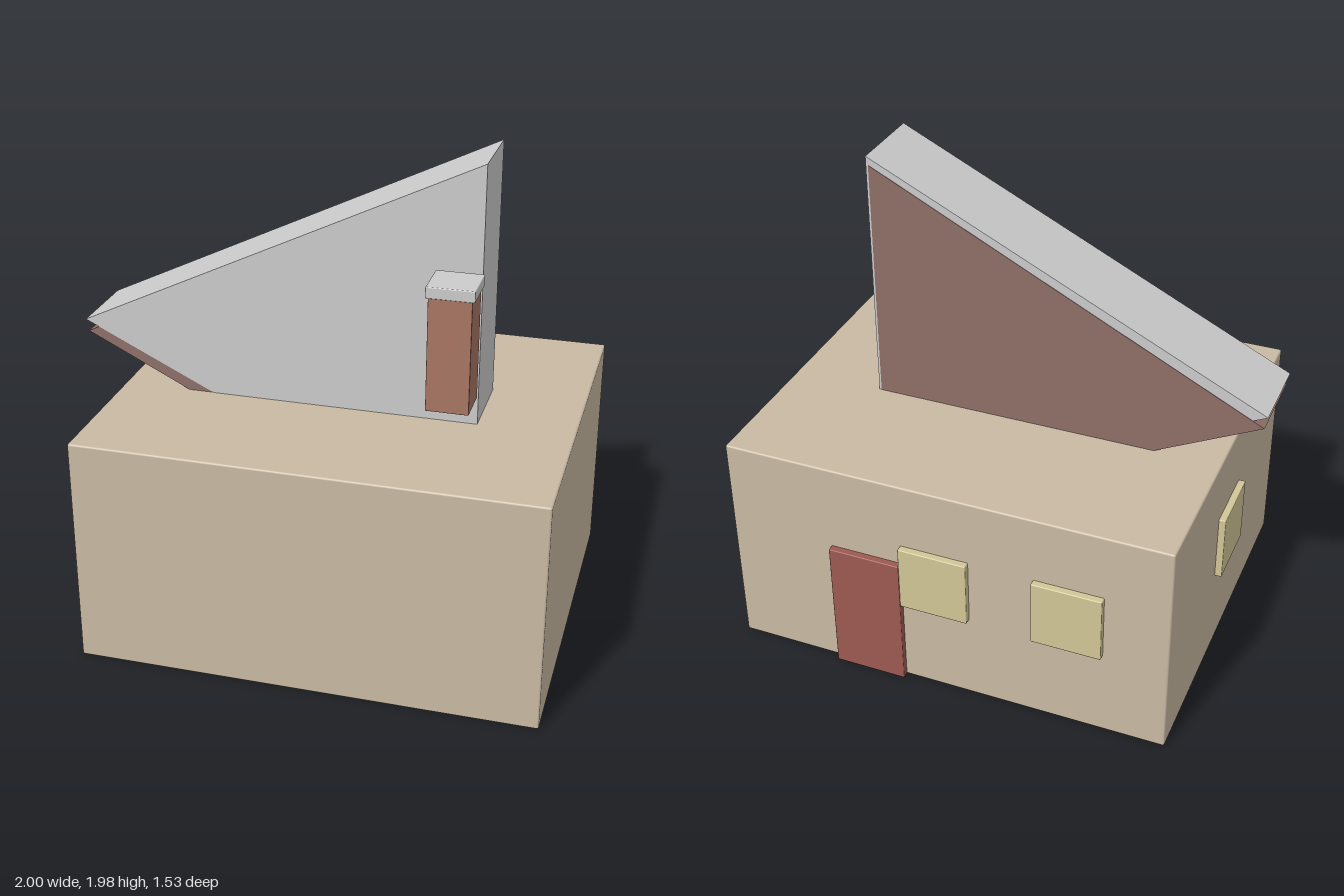
import * as THREE from 'three';
import { RoundedBoxGeometry } from 'three/addons/geometries/RoundedBoxGeometry.js';

const material = (color) => new THREE.MeshStandardMaterial({ color });
const MAT = {
  wall: material(0xc9b9a3),
  grey: material(0xcccccc),
  gable: material(0x8f6f68),
  brick: material(0xa87564),
  door: material(0x9c5a50),
  window: material(0xd2c697),
};

export function createModel() {
  const house = new THREE.Group();
  house.name = 'house';

  const add = (name, geometry, mat) => {
    const mesh = new THREE.Mesh(geometry, mat);
    mesh.name = name;
    house.add(mesh);
    return mesh;
  };

  // Softly bevelled box given by its minimum and maximum corners
  const box = (name, min, max, mat, bevel = 0.004) => {
    const size = max.map((v, i) => v - min[i]);
    const mesh = add(name, new RoundedBoxGeometry(...size, 2, bevel), mat);
    mesh.position.set(...min.map((v, i) => (v + max[i]) / 2));
  };

  // Triangular prism lying on its side: tip at the left, upright face at the right
  const wedge = (name, tip, right, top, bottom, z0, z1, mat) => {
    const shape = new THREE.Shape([
      new THREE.Vector2(...tip),
      new THREE.Vector2(right, bottom),
      new THREE.Vector2(right, top),
    ]);
    const geometry = new THREE.ExtrudeGeometry(shape, { depth: z1 - z0, bevelEnabled: false });
    add(name, geometry.translate(0, 0, z0), mat);
  };

  // Main block
  box('walls', [-0.84, 0, -0.74], [0.995, 0.94, 0.762], MAT.wall, 0.008);

  // Roof shell, and the slightly lower gable wedge within it
  wedge('roof', [-1, 1.2], 0.615, 1.98, 0.42, -0.153, 0.178, MAT.grey);
  wedge('gable', [-0.99, 1.15], 0.605, 1.945, 0.36, -0.155, 0.176, MAT.gable);

  // Chimney with cap
  box('chimney', [0.455, 1.08, 0.235], [0.62, 1.535, 0.4], MAT.brick, 0.002);
  box('chimneyCap', [0.445, 1.53, 0.222], [0.63, 1.575, 0.405], MAT.grey);

  // Door and windows on the back wall
  box('door', [0.255, 0, -0.768], [0.555, 0.575, -0.73], MAT.door);
  for (const x of [-0.58, -0.03]) {
    box('backWindow', [x, 0.38, -0.768], [x + 0.284, 0.662, -0.73], MAT.window);
  }

  // Window on the side wall
  box('sideWindow', [-0.868, 0.38, -0.13], [-0.83, 0.662, 0.16], MAT.window);

  return house;
}
